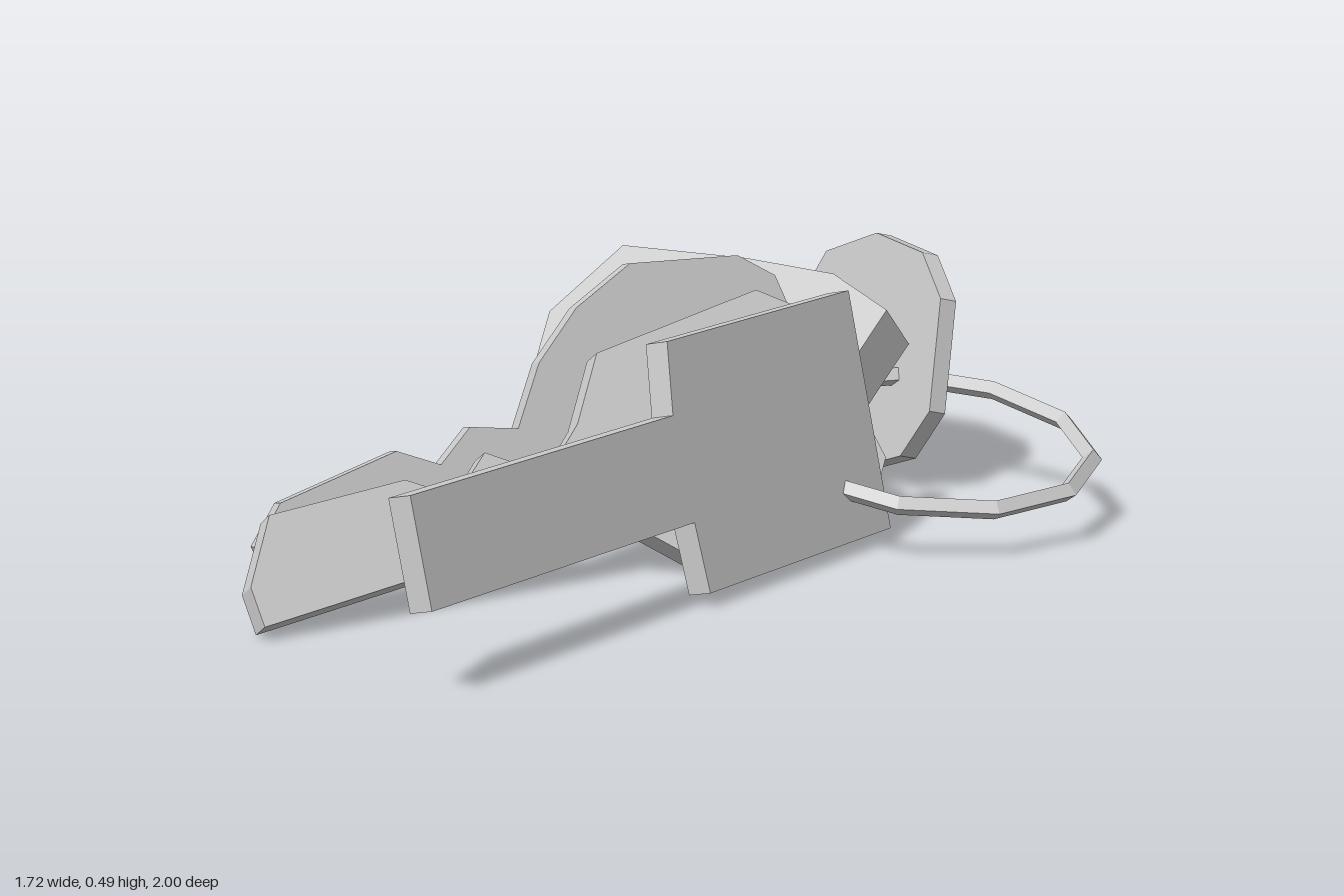
import * as THREE from 'three';

const material = new THREE.MeshStandardMaterial({ color: 0xcccccc, flatShading: true });

// Flat slab lying on the tilted plane w = a + b*u + c*v. Its outline is given
// in (u, v) and it is thickened behind the plane, along the plane's normal.
// (u, v, w) is (x, y, z), (y, z, x) or (z, x, y), depending on the axis w.
function slab(name, axis, outline, [a, b, c], thickness) {
  const shape = new THREE.Shape(outline.map(([u, v]) => new THREE.Vector2(u, v)));
  const geometry = new THREE.ExtrudeGeometry(shape, { depth: 1, bevelEnabled: false });
  const normal = new THREE.Vector3(-b, -c, 1).normalize();
  const pos = geometry.attributes.position;
  const p = new THREE.Vector3();
  for (let i = 0; i < pos.count; i++) {
    const u = pos.getX(i), v = pos.getY(i), depth = (pos.getZ(i) - 1) * thickness;
    p.set(u, v, a + b * u + c * v).addScaledVector(normal, depth);
    if (axis === 'x') p.set(p.z, p.x, p.y);
    if (axis === 'y') p.set(p.y, p.z, p.x);
    pos.setXYZ(i, p.x, p.y, p.z);
  }
  geometry.computeVertexNormals();
  const mesh = new THREE.Mesh(geometry, material);
  mesh.name = name;
  return mesh;
}

export function createModel() {
  const group = new THREE.Group();
  group.name = 'keyRing';

  // Front key: square head and plain blade, outline in (x, y)
  group.add(slab('squareKey', 'z', [
    [-0.74, 0.33], [-0.125, 0.33], [-0.12, 0.45], [0.365, 0.45],
    [0.41, 0.03], [-0.08, 0.03], [-0.1, 0.15], [-0.72, 0.15],
  ], [0.63, -0.57, -0.27], 0.045));

  // Middle key: toothed blade and rounded head, outline in (x, y)
  group.add(slab('middleKey', 'z', [
    [-0.85, 0.09], [-0.79, 0.19], [-0.53, 0.215], [-0.44, 0.18], [-0.37, 0.24],
    [-0.26, 0.195], [-0.18, 0.265], [-0.11, 0.37], [0.24, 0.44], [0.34, 0.395],
    [0.42, 0.15], [0.37, 0.08], [0.25, 0.035], [-0.02, 0.04], [-0.15, 0.12],
    [-0.84, 0.03],
  ], [0.49, -0.112, -0.64], 0.04));

  // Back key: toothed blade and rounded head, outline in (x, y)
  group.add(slab('backKey', 'z', [
    [-0.71, 0.06], [-0.66, 0.13], [-0.44, 0.2], [-0.36, 0.17], [-0.3, 0.23],
    [-0.21, 0.22], [-0.16, 0.33], [-0.08, 0.42], [0.03, 0.49], [0.24, 0.49],
    [0.31, 0.45], [0.36, 0.32], [0.38, 0.19], [0.33, 0.1], [0.22, 0.05],
    [0.03, 0.035], [-0.1, 0.1], [-0.17, 0.12], [-0.58, 0.04], [-0.69, 0.015],
  ], [0.205, 0.035, -0.22], 0.035));

  // Side key: points away to the back, outline in (y, z)
  group.add(slab('sideKey', 'x', [
    [0.36, 0.065], [0.43, -0.03], [0.44, -0.2], [0.38, -0.36], [0.27, -0.42],
    [0.19, -0.5], [0.24, -0.59], [0.185, -0.63], [0.215, -0.71], [0.165, -0.93],
    [0.085, -1], [0.015, -0.99], [0.03, -0.91], [0.07, -0.84], [0.06, -0.69],
    [0.085, -0.54], [0.1, -0.385], [0.025, -0.29], [0.005, -0.11], [0.065, 0.055],
    [0.16, 0.115],
  ], [0.618, 0.25, 0.063], 0.035));

  // Remote fob: thick tilted slab, outline in (z, x)
  group.add(slab('remoteFob', 'y', [
    [-0.47, 0.07], [-0.585, 0.17], [-0.57, 0.32], [-0.31, 0.46], [-0.12, 0.55],
    [0.04, 0.58], [0.12, 0.34], [0, 0.28], [-0.25, 0.12],
  ], [-0.13, -0.43, 0.857], 0.105));

  // Thin split ring joining everything
  const ringGeometry = new THREE.TorusGeometry(0.305, 0.018, 4, 11)
    .rotateZ(THREE.MathUtils.degToRad(28))
    .rotateX(Math.PI / 2 + 0.2);
  const ring = new THREE.Mesh(ringGeometry, material);
  ring.name = 'ring';
  ring.position.set(0.545, 0.15, 0.26);
  group.add(ring);

  return group;
}
